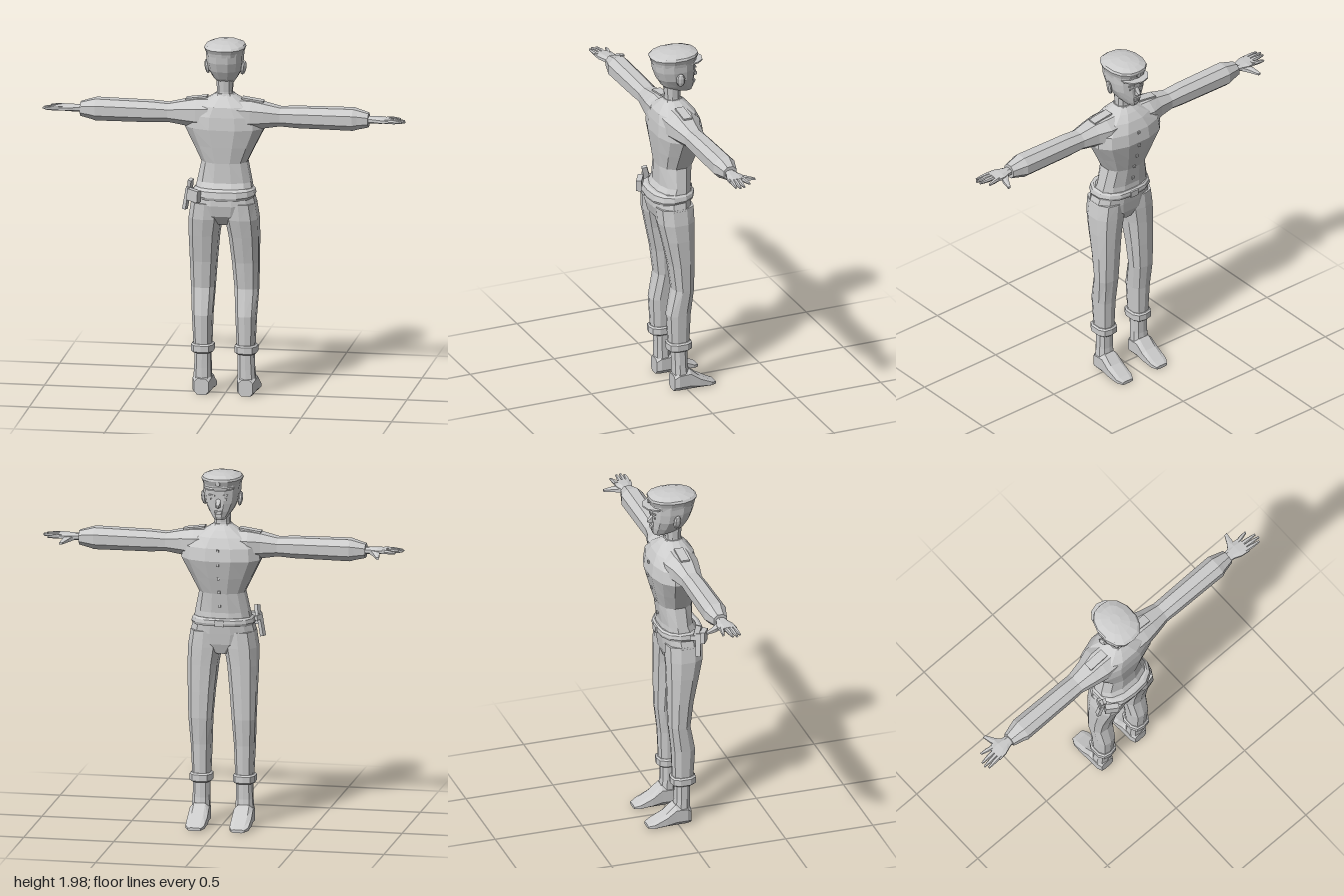
import * as THREE from 'three';

const grey = new THREE.MeshStandardMaterial({ color: 0xcccccc });
grey.name = 'plain grey';

// Faceted closed skin through a list of equal-length rings of points
function loft(rings) {
  const n = rings[0].length, tris = [];
  for (let r = 0; r + 1 < rings.length; r++) {
    for (let i = 0; i < n; i++) {
      const j = (i + 1) % n, A = rings[r], B = rings[r + 1];
      tris.push([A[i], B[i], B[j]], [A[i], B[j], A[j]]);
    }
  }
  const a = rings[0], b = rings[rings.length - 1];
  for (let i = 1; i + 1 < n; i++) tris.push([a[0], a[i], a[i + 1]], [b[0], b[i + 1], b[i]]);
  // turn faces outward, whichever way the rings run
  let volume = 0;
  for (const [p, q, s] of tris) volume += p.dot(q.clone().cross(s));
  if (volume < 0) tris.forEach(t => t.reverse());
  const g = new THREE.BufferGeometry().setFromPoints(tris.flat());
  g.computeVertexNormals();
  return g;
}

// Unit outline reaching exactly +-1, squared off by a power
function outline(n, power) {
  const k = Math.cos(Math.PI / n);
  return Array.from({ length: n }, (_, i) => {
    const t = (i + 0.5) / n * Math.PI * 2;
    return [Math.cos(t), Math.sin(t)].map(c => Math.sign(c) * Math.pow(Math.min(1, Math.abs(c) / k), power));
  });
}

// rows: [y, xCentre, halfWidth, zFront, zBack, tilt]; tilt raises the back and lowers the front
const upright = (rows, n = 12, power = 0.9, s = 1) => loft(rows.map(([y, x, w, zf, zb, tilt = 0]) =>
  outline(n, power).map(([c, d]) => new THREE.Vector3(s * (x + w * c), y + tilt * d, (zf + zb) / 2 + (zb - zf) / 2 * d))));

// rows: [x, yLow, yHigh, zFront, zBack]
const sideways = (rows, n = 8, s = 1) => loft(rows.map(([x, y0, y1, z0, z1]) =>
  outline(n, 0.9).map(([c, d]) => new THREE.Vector3(s * x, (y0 + y1) / 2 + (y1 - y0) / 2 * c, (z0 + z1) / 2 + (z1 - z0) / 2 * d))));

// rows: [z, xCentre, halfWidth, yLow, yHigh]
const lengthwise = (rows, n = 8, s = 1, power = 0.6) => loft(rows.map(([z, x, w, y0, y1]) =>
  outline(n, power).map(([c, d]) => new THREE.Vector3(s * (x + w * c), (y0 + y1) / 2 + (y1 - y0) / 2 * d, z))));

export function createModel() {
  const model = new THREE.Group();
  model.name = 'uniformedFigure';
  const add = (name, geometry, pos, rot) => {
    const m = new THREE.Mesh(geometry, grey);
    m.name = name;
    if (pos) m.position.set(...pos);
    if (rot) m.rotation.set(...rot);
    model.add(m);
    return m;
  };
  const box = (name, size, pos, rot) => add(name, new THREE.BoxGeometry(...size), pos, rot);

  // Jacket, narrow at the waist and broad at the chest
  add('jacket', upright([
    [1.14, 0, 0.16, -0.065, 0.15], [1.2, 0, 0.148, -0.06, 0.115], [1.31, 0, 0.125, -0.075, 0.115],
    [1.4, 0, 0.168, -0.1, 0.125], [1.5, 0, 0.218, -0.125, 0.135], [1.57, 0, 0.21, -0.115, 0.13],
    [1.625, 0, 0.15, -0.09, 0.12], [1.66, 0, 0.09, -0.06, 0.09], [1.685, 0, 0.05, -0.03, 0.065],
  ], 12, 0.85));
  add('collar', upright([[1.655, 0, 0.07, -0.045, 0.08], [1.69, 0, 0.048, -0.03, 0.068]], 10));
  add('neck', upright([[1.64, 0, 0.045, -0.025, 0.065], [1.7, 0, 0.042, -0.022, 0.062], [1.78, 0, 0.045, -0.03, 0.07]], 10));

  // Buttons and front seam
  [[1.24, -0.066], [1.32, -0.079], [1.4, -0.1], [1.48, -0.122], [1.56, -0.117]].forEach(([y, z]) =>
    box('button', [0.014, 0.014, 0.01], [0, y, z - 0.003]));

  // Belt, pelvis and buckle
  add('belt', upright([
    [1.12, 0, 0.165, -0.077, 0.168, -0.008], [1.135, 0, 0.172, -0.082, 0.174, -0.008],
    [1.16, 0, 0.166, -0.08, 0.168], [1.17, 0, 0.155, -0.07, 0.15],
  ], 14, 0.85));
  box('buckle', [0.05, 0.035, 0.01], [0, 1.145, -0.082]);
  add('pelvis', upright([
    [0.965, 0, 0.05, -0.03, 0.1], [1.02, 0, 0.15, -0.05, 0.145],
    [1.08, 0, 0.178, -0.058, 0.158], [1.14, 0, 0.162, -0.065, 0.155],
  ], 12, 0.85));

  // Head, tapering to the chin
  add('head', upright([
    [1.728, 0, 0.03, -0.092, -0.02], [1.745, 0, 0.046, -0.099, 0.045], [1.775, 0, 0.066, -0.1, 0.082],
    [1.82, 0, 0.088, -0.1, 0.108], [1.87, 0, 0.097, -0.103, 0.126], [1.93, 0, 0.1, -0.106, 0.135],
  ], 12, 0.85));
  add('nose', lengthwise([[-0.095, 0, 0.013, 1.795, 1.86], [-0.113, 0, 0.012, 1.797, 1.83], [-0.126, 0, 0.007, 1.803, 1.815]], 6));
  box('upperLip', [0.042, 0.009, 0.016], [0, 1.777, -0.101]);
  box('lowerLip', [0.034, 0.009, 0.014], [0, 1.766, -0.101]);

  // Peaked cap
  add('cap', upright([
    [1.9, 0, 0.098, -0.107, 0.136, 0.008], [1.922, 0, 0.102, -0.11, 0.14, 0.004],
    [1.946, 0, 0.111, -0.122, 0.15], [1.958, 0, 0.104, -0.12, 0.135],
    [1.972, 0, 0.07, -0.085, 0.09], [1.98, 0, 0.025, -0.03, 0.035],
  ], 14, 0.9));
  const peak = new THREE.Shape();
  peak.moveTo(-0.085, 0.055);
  [[-0.08, 0.1], [-0.05, 0.138], [0, 0.153], [0.05, 0.138], [0.08, 0.1], [0.085, 0.055]].forEach(p => peak.lineTo(...p));
  add('capPeak', new THREE.ExtrudeGeometry(peak, { depth: 0.008, bevelEnabled: false }), [0, 1.902, 0], [-Math.PI / 2, 0, 0]);
  add('capBadge', new THREE.CylinderGeometry(0.014, 0.014, 0.008, 6), [0, 1.934, -0.119], [Math.PI / 2, 0, 0]);

  for (const s of [1, -1]) {
    // Face
    box('eye', [0.027, 0.01, 0.006], [s * 0.034, 1.845, -0.1], [0, s * -0.2, 0]);
    box('eyebrow', [0.036, 0.007, 0.008], [s * 0.036, 1.868, -0.101], [0, s * -0.2, s * 0.1]);
    const ear = add('ear', new THREE.SphereGeometry(1, 8, 5).toNonIndexed(), [s * 0.1, 1.83, 0.012], [0, s * -0.35, s * -0.15]);
    ear.geometry.computeVertexNormals();
    ear.scale.set(0.014, 0.041, 0.025);

    // Sleeve with a tapered end
    add('sleeve', sideways([
      [0.08, 1.5, 1.655, -0.075, 0.115], [0.15, 1.495, 1.653, -0.075, 0.112], [0.22, 1.505, 1.64, -0.05, 0.1],
      [0.31, 1.518, 1.62, -0.032, 0.082], [0.4, 1.512, 1.626, -0.033, 0.084], [0.71, 1.51, 1.63, -0.036, 0.087],
      [0.735, 1.517, 1.623, -0.028, 0.078], [0.795, 1.53, 1.606, -0.012, 0.064],
    ], 8, s));
    box('shoulderStrap', [0.12, 0.01, 0.05], [s * 0.155, 1.655, 0.02], [0, 0, s * -0.14]);

    // Hand
    add('palm', sideways([
      [0.78, 1.55, 1.588, 0.002, 0.052], [0.82, 1.553, 1.588, -0.004, 0.06],
      [0.86, 1.555, 1.588, -0.018, 0.076], [0.91, 1.56, 1.584, -0.012, 0.082],
    ], 8, s));
    [[0.064, 0.074, 0.985], [0.044, 0.054, 1.0], [0.022, 0.03, 0.995], [0.0, -0.014, 0.965]].forEach(([z0, z1, end]) =>
      add('finger', sideways([
        [0.89, 1.561, 1.584, z0 - 0.012, z0 + 0.012],
        [(0.89 + end) / 2, 1.562, 1.582, (z0 + z1) / 2 - 0.012, (z0 + z1) / 2 + 0.012],
        [end, 1.565, 1.575, z1 - 0.006, z1 + 0.006],
      ], 6, s)));
    add('thumb', lengthwise([
      [0.01, 0.838, 0.025, 1.552, 1.582], [-0.03, 0.862, 0.018, 1.547, 1.572], [-0.082, 0.88, 0.008, 1.545, 1.558],
    ], 6, s));

    // Trouser leg and turned-up cuff
    add('trouserLeg', upright([
      [1.09, 0.092, 0.084, -0.056, 0.155], [1.0, 0.1, 0.09, -0.056, 0.15], [0.9, 0.11, 0.082, -0.053, 0.127],
      [0.75, 0.116, 0.073, -0.05, 0.094], [0.6, 0.12, 0.065, -0.046, 0.074], [0.45, 0.12, 0.056, -0.03, 0.104],
      [0.26, 0.119, 0.048, -0.022, 0.093],
    ], 10, 0.85, s));
    add('cuff', upright([
      [0.237, 0.12, 0.052, -0.028, 0.098], [0.245, 0.12, 0.061, -0.036, 0.106],
      [0.28, 0.12, 0.061, -0.036, 0.106], [0.288, 0.12, 0.052, -0.028, 0.098],
    ], 10, 0.8, s));

    // Ankle and foot
    add('ankle', upright([[0.08, 0.122, 0.05, -0.02, 0.072], [0.15, 0.12, 0.046, -0.012, 0.072], [0.25, 0.119, 0.044, -0.012, 0.075]], 10, 0.85, s));
    add('foot', lengthwise([
      [0.074, 0.122, 0.04, 0, 0.09], [0.05, 0.122, 0.052, 0, 0.115], [-0.015, 0.122, 0.053, 0, 0.12],
      [-0.07, 0.122, 0.055, 0, 0.072], [-0.14, 0.122, 0.052, 0, 0.032], [-0.172, 0.12, 0.036, 0, 0.018],
    ], 8, s));
  }

  // Holster and pistol on the right hip
  box('holsterPouch', [0.075, 0.065, 0.03], [-0.152, 1.135, 0.145], [0, -0.55, -0.08]);
  box('pistolBarrel', [0.02, 0.13, 0.028], [-0.197, 1.11, 0.1], [0, -0.4, -0.2]);
  box('pistolGrip', [0.02, 0.065, 0.03], [-0.178, 1.185, 0.1], [0.25, -0.4, -0.15]);
  box('pistolFrame', [0.022, 0.026, 0.055], [-0.185, 1.15, 0.085], [0, -0.4, -0.2]);

  return model;
}
